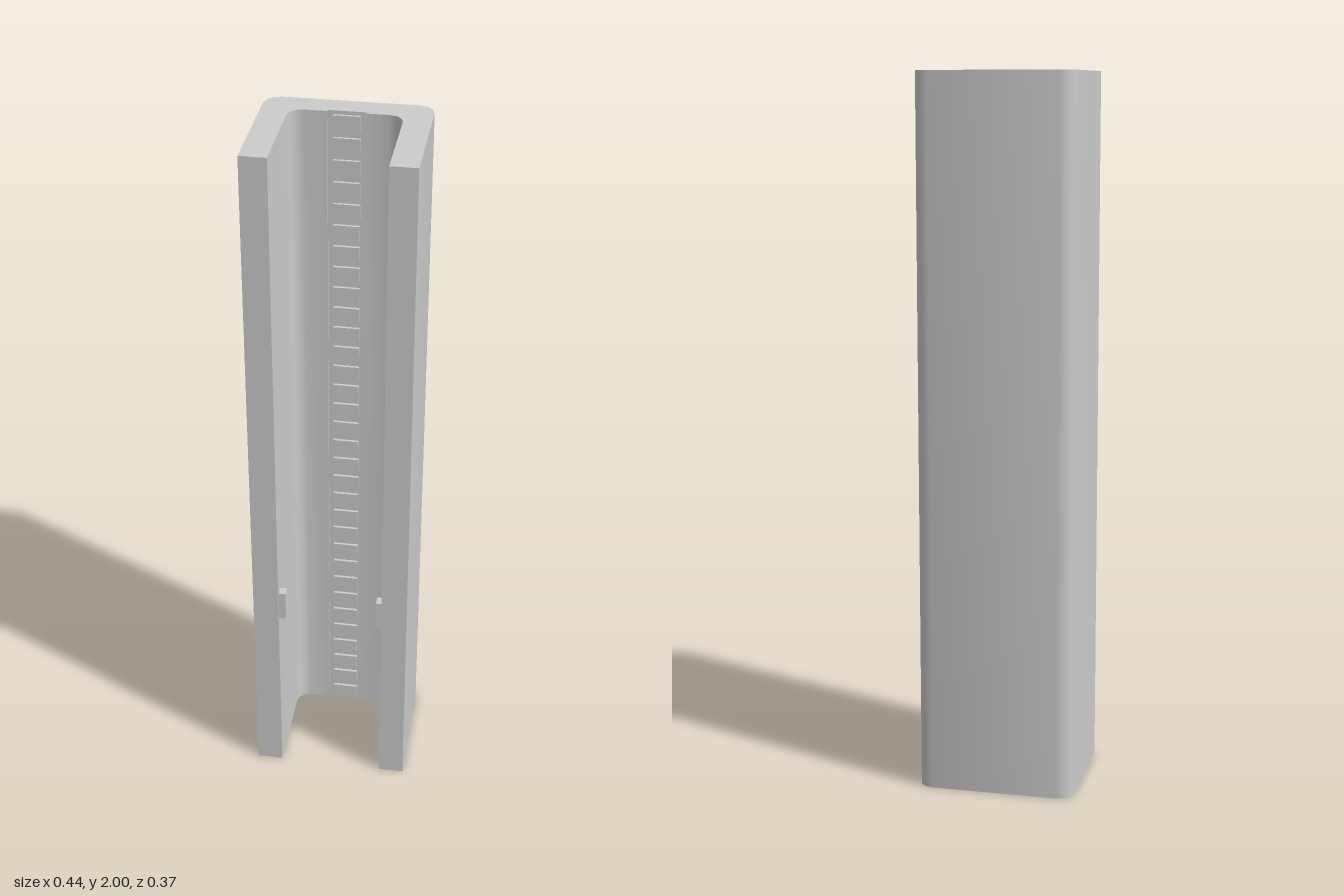
import * as THREE from 'three';
import { toCreasedNormals } from 'three/addons/utils/BufferGeometryUtils.js';

const HEIGHT = 2;
const material = new THREE.MeshStandardMaterial({ color: 0xcccccc, side: THREE.DoubleSide });

// Points of a quarter round, in the plan (x, -z)
function arc(cx, cy, r, from, to, steps = 3) {
  return Array.from({ length: steps + 1 }, (_, i) => {
    const a = from + (to - from) * i / steps;
    return new THREE.Vector2(cx + r * Math.cos(a), cy + r * Math.sin(a));
  });
}

// U-shaped plan with rounded corners and a shallow groove inside the back wall
function channelShape() {
  const p = (x, y) => new THREE.Vector2(x, y);
  const q = Math.PI / 2, R = 0.043, r = 0.038;
  return new THREE.Shape([
    p(0.222, -0.184),
    ...arc(0.222 - R, 0.186 - R, R, 0, q),
    ...arc(-0.222 + R, 0.186 - R, R, q, 2 * q),
    p(-0.222, -0.184), p(-0.149, -0.184),
    ...arc(-0.149 + r, 0.114 - r, r, 2 * q, q),
    p(-0.05, 0.114), p(-0.05, 0.121), p(0.05, 0.121), p(0.05, 0.114),
    ...arc(0.149 - r, 0.114 - r, r, q, 0),
    p(0.149, -0.184),
  ]);
}

// Extruded channel, hollow-ended: the triangles lying on the ground are dropped
function channelGeometry() {
  const full = new THREE.ExtrudeGeometry(channelShape(), { depth: HEIGHT, bevelEnabled: false });
  full.rotateX(-Math.PI / 2);
  const pos = full.attributes.position;
  const kept = [];
  for (let i = 0; i < pos.count; i += 3) {
    if ([0, 1, 2].every(k => pos.getY(i + k) < 1e-4)) continue;
    for (let k = 0; k < 3; k++) kept.push(pos.getX(i + k), pos.getY(i + k), pos.getZ(i + k));
  }
  const geo = new THREE.BufferGeometry();
  geo.setAttribute('position', new THREE.Float32BufferAttribute(kept, 3));
  return toCreasedNormals(geo, 0.7);
}

// Box given by its ranges on the three axes
function box(name, [x0, x1], [y0, y1], [z0, z1]) {
  const mesh = new THREE.Mesh(new THREE.BoxGeometry(x1 - x0, y1 - y0, z1 - z0), material);
  mesh.position.set((x0 + x1) / 2, (y0 + y1) / 2, (z0 + z1) / 2);
  mesh.name = name;
  return mesh;
}

export function createModel() {
  const model = new THREE.Group();
  model.name = 'channelCover';

  const channel = new THREE.Mesh(channelGeometry(), material);
  channel.name = 'channel';
  model.add(channel);

  // Snap tabs on the inner faces of the two side walls
  model.add(box('rightTab', [-0.149, -0.129], [0.55, 0.64], [0.148, 0.176]));
  model.add(box('leftTab', [0.132, 0.149], [0.55, 0.64], [0.148, 0.176]));

  // Row of low pads running up the groove
  const pads = new THREE.Group();
  pads.name = 'groovePads';
  const count = 32, pitch = HEIGHT / count;
  for (let i = 0; i < count; i++) {
    const y = (i + 0.5) * pitch;
    pads.add(box('pad', [-0.036, 0.036], [y - 0.021, y + 0.021], [-0.121, -0.113]));
  }
  model.add(pads);
  return model;
}
